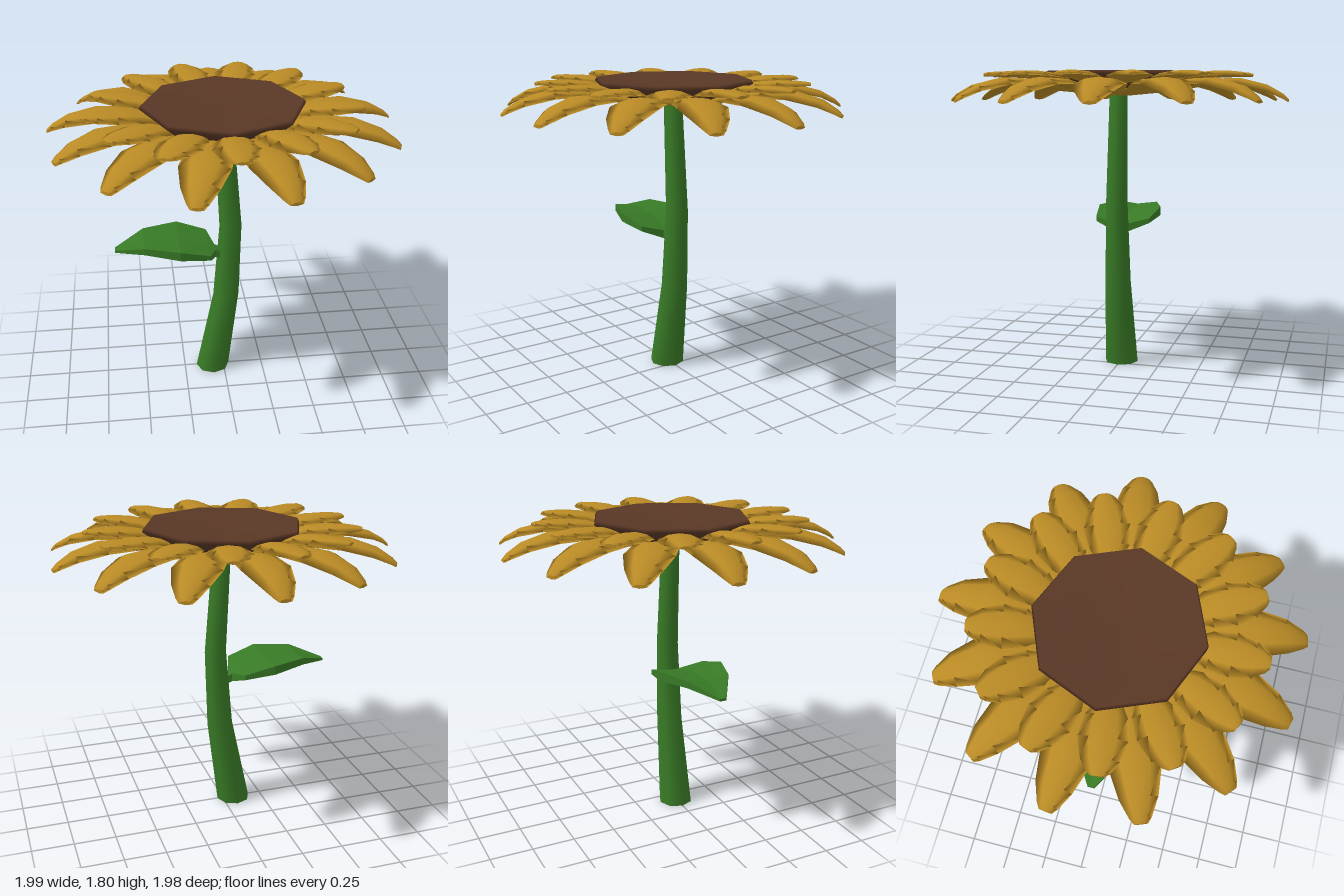
import * as THREE from 'three';

const petalYellow = new THREE.MeshStandardMaterial({ color: 0xb98a25 });
const seedBrown = new THREE.MeshStandardMaterial({ color: 0x593725 });
const stemGreen = new THREE.MeshStandardMaterial({ color: 0x387a26 });
petalYellow.name = 'petalYellow';
seedBrown.name = 'seedBrown';
stemGreen.name = 'stemGreen';

// Skins a list of equal rings of [x, y, z] points and closes both ends with sharp caps.
function loft(rings, flat = false) {
  const n = rings[0].length;
  const pos = rings.flat(2);
  const index = [];
  for (let i = 0; i < rings.length - 1; i++) {
    for (let j = 0; j < n; j++) {
      const a = i * n + j, b = i * n + (j + 1) % n;
      index.push(a, b, b + n, a, b + n, a + n);
    }
  }
  [rings[0], rings[rings.length - 1]].forEach((ring, end) => {
    const start = pos.length / 3;
    const centre = [0, 1, 2].map(k => ring.reduce((s, p) => s + p[k], 0) / n);
    pos.push(...ring.flat(), ...centre);
    for (let j = 0; j < n; j++) {
      const a = start + j, b = start + (j + 1) % n;
      index.push(start + n, end ? a : b, end ? b : a);
    }
  });
  let geometry = new THREE.BufferGeometry();
  geometry.setAttribute('position', new THREE.Float32BufferAttribute(pos, 3));
  geometry.setIndex(index);
  if (flat) geometry = geometry.toNonIndexed();
  geometry.computeVertexNormals();
  return geometry;
}

// Petal pointing along +z; each row is radius, half width, edge height, arch height.
function petalGeometry(rows) {
  return loft(rows.map(([r, w, y, h]) => [
    [w, y, r], [w * 0.55, y + h * 0.75, r], [0, y + h, r],
    [-w * 0.55, y + h * 0.75, r], [-w, y, r], [0, y - 0.006, r],
  ]));
}

// Ring of identical petals turned around the flower centre.
function petalRing(name, geometry, count, startAngle) {
  const ring = new THREE.Group();
  ring.name = name;
  for (let k = 0; k < count; k++) {
    const petal = new THREE.Mesh(geometry, petalYellow);
    petal.name = name + 'Petal';
    petal.rotation.y = startAngle + (k / count) * Math.PI * 2;
    ring.add(petal);
  }
  return ring;
}

export function createModel() {
  const flower = new THREE.Group();
  flower.name = 'flower';
  const add = (name, geometry, material) => {
    const mesh = new THREE.Mesh(geometry, material);
    mesh.name = name;
    flower.add(mesh);
  };

  // Bent, tapering stem: centre x, height, radius
  const stemRows = [[-0.07, 0, 0.104], [0.018, 0.54, 0.08], [0.045, 1.02, 0.067], [0.0, 1.7, 0.055]];
  add('stem', loft(stemRows.map(([x, y, r]) => Array.from({ length: 8 }, (_, j) => {
    const a = (j / 8) * Math.PI * 2;
    return [x + r * Math.sin(a), y, r * Math.cos(a)];
  }))), stemGreen);

  // Thick cupped leaf on a short stalk: x, half width, edge top, middle top, edge bottom, middle bottom
  const leafRows = [
    [0.02, 0.03, 0.84, 0.84, 0.79, 0.78],
    [-0.05, 0.035, 0.875, 0.87, 0.825, 0.81],
    [-0.09, 0.17, 0.91, 0.885, 0.88, 0.84],
    [-0.27, 0.2, 0.96, 0.935, 0.905, 0.888],
    [-0.48, 0.13, 0.962, 0.945, 0.92, 0.9],
    [-0.655, 0.02, 0.9, 0.9, 0.886, 0.885],
  ];
  add('leaf', loft(leafRows.map(([x, w, et, mt, eb, mb]) => [
    [x, eb, w], [x, et, w], [x, mt, 0], [x, et, -w], [x, eb, -w], [x, mb, 0],
  ]), true), stemGreen);

  // Drooping outer petals, meeting under the head
  const petals = 13;
  flower.add(petalRing('outer', petalGeometry([
    [0.03, 0.008, 1.66, 0.02], [0.35, 0.085, 1.69, 0.03], [0.55, 0.128, 1.725, 0.03],
    [0.72, 0.135, 1.722, 0.038], [0.88, 0.098, 1.685, 0.035], [0.97, 0.056, 1.645, 0.024],
    [0.998, 0.035, 1.628, 0.014],
  ]), petals, Math.PI));

  // Flat inner petals between them
  flower.add(petalRing('inner', petalGeometry([
    [0.38, 0.06, 1.735, 0.02], [0.48, 0.108, 1.758, 0.03], [0.6, 0.128, 1.768, 0.03],
    [0.71, 0.1, 1.772, 0.025], [0.775, 0.06, 1.773, 0.018], [0.795, 0.035, 1.773, 0.012],
  ]), petals, Math.PI + Math.PI / petals));

  // Eight-sided dished seed head
  const headProfile = [[0, 1.7], [0.4, 1.72], [0.472, 1.78], [0.46, 1.8], [0.26, 1.768], [0, 1.758]];
  add('seedHead', new THREE.LatheGeometry(headProfile.map(p => new THREE.Vector2(...p)), 8), seedBrown);

  return flower;
}
